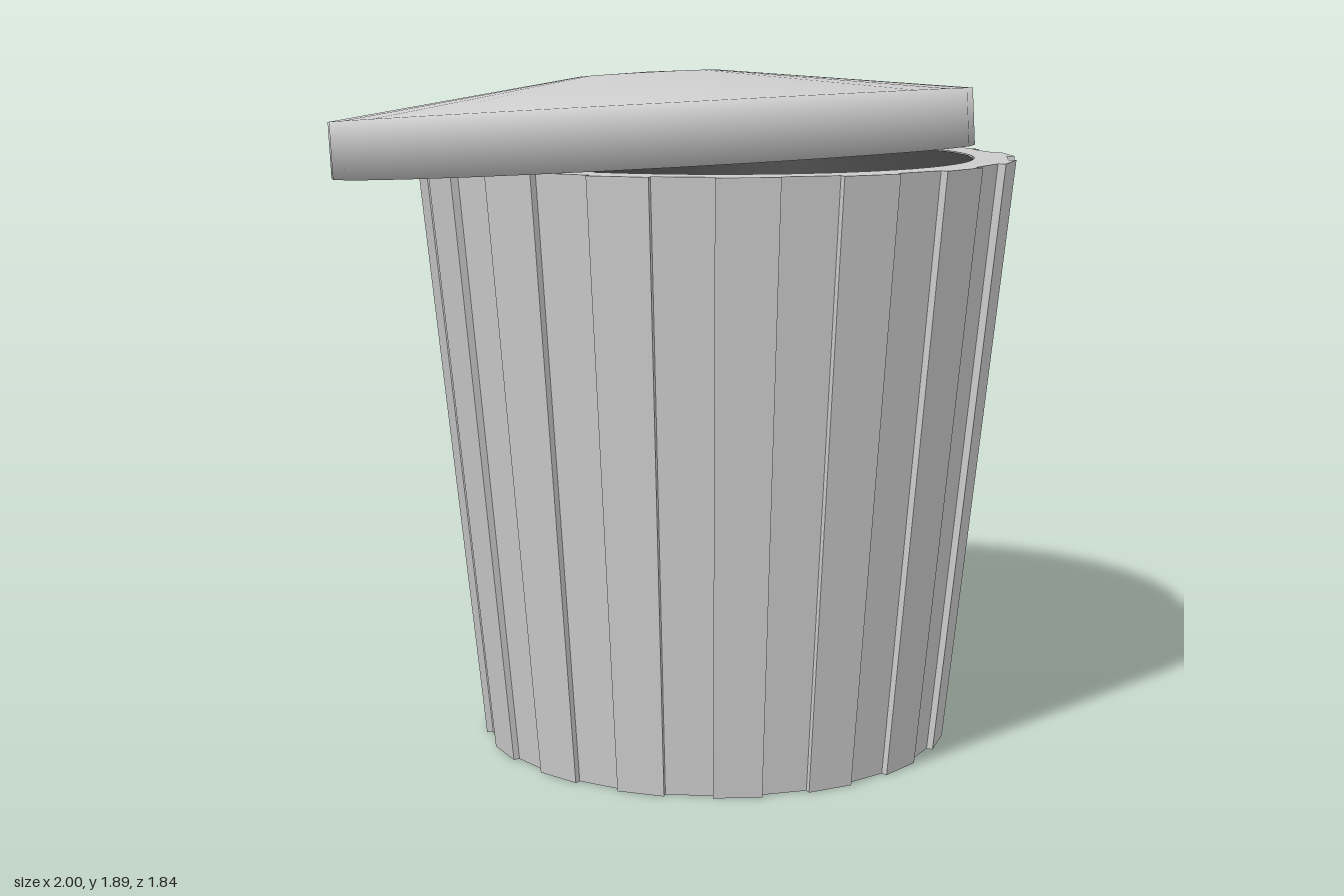
import * as THREE from 'three';

const HEIGHT = 1.65, TAPER = 0.797, RIBS = 16, WALL_IN = 0.72;
const grey = () => new THREE.MeshStandardMaterial({ color: 0xcccccc });

function add(parent, name, geometry, material) {
  const mesh = new THREE.Mesh(geometry, material);
  mesh.name = name;
  parent.add(mesh);
  return mesh;
}

// Ribbed, tapering wall: a toothed outline with a round hole, narrowed towards the bottom
function ribbedWall() {
  const points = [];
  const step = Math.PI / RIBS;
  for (let i = 0; i < RIBS; i++) {
    const a = i * 2 * step;
    for (const [r, t] of [[0.815, -0.5], [0.837, -0.5], [0.837, 0.5], [0.815, 0.5]]) {
      points.push(new THREE.Vector2(Math.cos(a + t * step) * r, Math.sin(a + t * step) * r));
    }
  }
  const shape = new THREE.Shape(points);
  shape.holes.push(new THREE.Path().absarc(0, 0, WALL_IN, 0, Math.PI * 2, true));
  const geo = new THREE.ExtrudeGeometry(shape, { depth: HEIGHT, bevelEnabled: false, curveSegments: 32 });
  geo.rotateX(-Math.PI / 2);
  const p = geo.attributes.position;
  for (let i = 0; i < p.count; i++) {
    const s = THREE.MathUtils.lerp(TAPER, 1, p.getY(i) / HEIGHT);
    p.setXYZ(i, p.getX(i) * s, p.getY(i), p.getZ(i) * s);
  }
  geo.computeVertexNormals();
  return geo;
}

// Smooth lathe from [radius, height] pairs
const lathe = (pairs) =>
  new THREE.LatheGeometry(pairs.map(([r, y]) => new THREE.Vector2(r, y)), 32);

export function createModel() {
  const model = new THREE.Group();
  model.name = 'binWithLid';

  // Bin body
  const bin = new THREE.Group();
  bin.name = 'bin';
  bin.position.x = 0.163;
  model.add(bin);
  add(bin, 'ribbedWall', ribbedWall(), grey());

  // Base plate closing the bottom
  const r0 = WALL_IN * TAPER;
  const base = add(bin, 'base', new THREE.CylinderGeometry(r0 + 0.004, r0, 0.05, 32), grey());
  base.position.y = 0.025;

  // Dark lining of the hollow
  const dark = new THREE.MeshStandardMaterial({ color: 0x444444, side: THREE.DoubleSide });
  add(bin, 'lining', lathe([[0, 0.053], [r0 + 0.002, 0.053], [WALL_IN - 0.003, HEIGHT - 0.002]]), dark);

  // Lid, slid to one side and resting at a tilt
  const lid = add(model, 'lid', lathe([
    [0, 0], [0.92, 0], [0.92, 0.16], [0.2, 0.25], [0, 0.255],
  ]), grey());
  lid.position.set(-0.073, 1.625, 0);
  lid.rotation.z = THREE.MathUtils.degToRad(4);

  return model;
}
